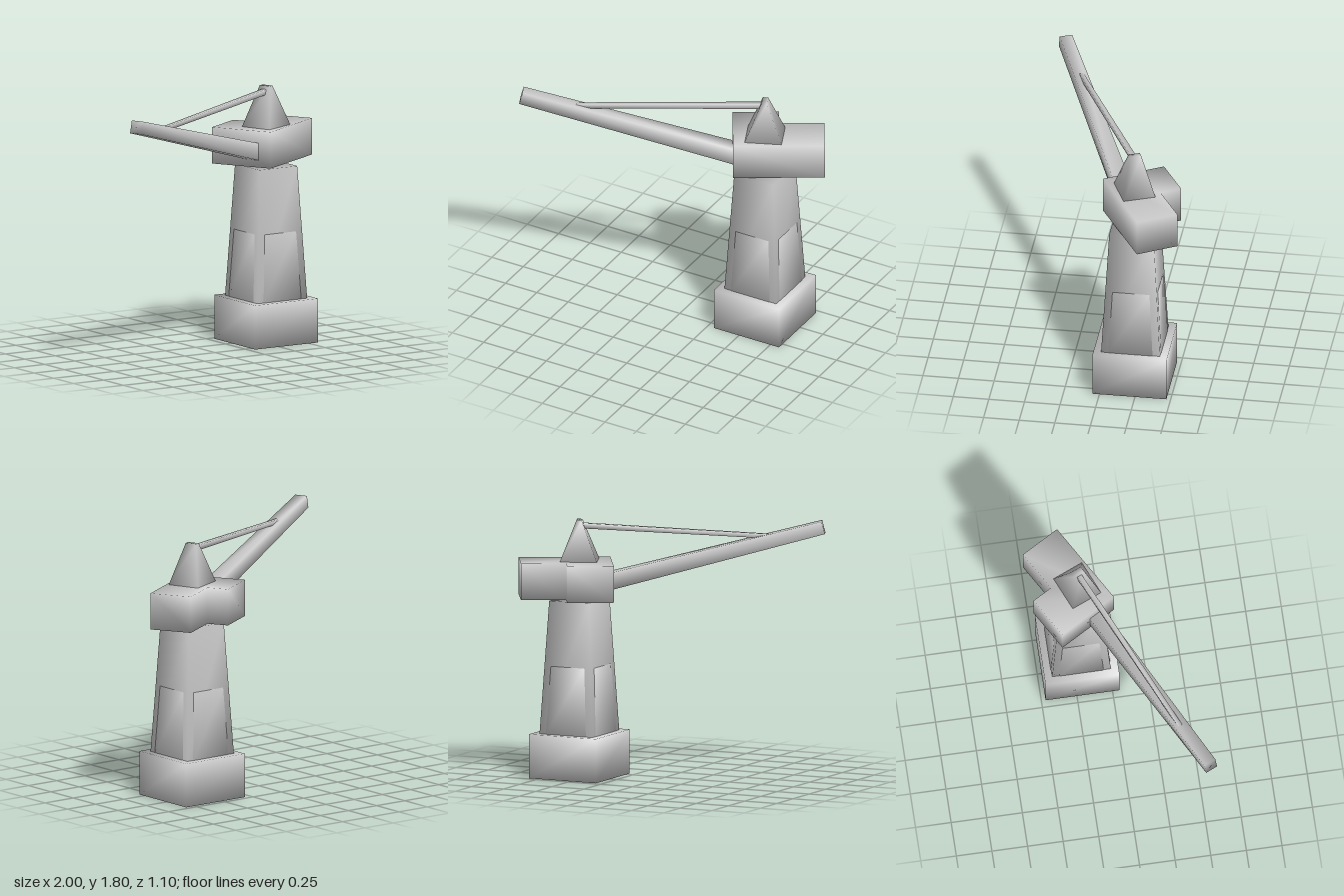
import * as THREE from 'three';
import { mergeVertices } from 'three/addons/utils/BufferGeometryUtils.js';

const material = new THREE.MeshStandardMaterial({ color: 0xcccccc });
const CX = 0.56, CZ = -0.21; // vertical axis of the tower

// Share corners so that shading runs softly across the edges
function soften(geometry) {
  geometry.deleteAttribute('normal');
  geometry.deleteAttribute('uv');
  const merged = mergeVertices(geometry, 1e-4);
  merged.computeVertexNormals();
  return merged;
}

// Box standing on y = 0 whose top may differ in size from its bottom
function frustum(w0, d0, w1, d1, h) {
  const geometry = new THREE.BoxGeometry(1, h, 1).translate(0, h / 2, 0);
  const p = geometry.attributes.position;
  for (let i = 0; i < p.count; i++) {
    const top = p.getY(i) > h / 2;
    p.setX(i, p.getX(i) * (top ? w1 : w0));
    p.setZ(i, p.getZ(i) * (top ? d1 : d0));
  }
  return soften(geometry);
}

function add(group, name, geometry, x, y, z, degrees = 0) {
  const mesh = new THREE.Mesh(geometry, material);
  mesh.name = name;
  mesh.position.set(x, y, z);
  mesh.rotation.y = THREE.MathUtils.degToRad(degrees);
  group.add(mesh);
  return mesh;
}

// Square tapered beam from a to b, kept level across its width
function beam(group, name, a, b, size0, size1) {
  const dir = b.clone().sub(a);
  const length = dir.length();
  dir.normalize();
  const side = new THREE.Vector3().crossVectors(dir, new THREE.Vector3(0, 1, 0)).normalize();
  const third = new THREE.Vector3().crossVectors(side, dir);
  const mesh = add(group, name, frustum(size0, size0, size1, size1, length), a.x, a.y, a.z);
  mesh.quaternion.setFromRotationMatrix(new THREE.Matrix4().makeBasis(side, dir, third));
}

export function createModel() {
  const crane = new THREE.Group();
  crane.name = 'towerCrane';

  // Foundation and tapered tower
  add(crane, 'base', frustum(0.52, 0.52, 0.52, 0.52, 0.31), CX, 0, CZ);
  add(crane, 'tower', frustum(0.412, 0.412, 0.312, 0.312, 0.93), CX, 0.31, CZ);

  // Shallow panels on the lower tower faces, leaving the corners recessed
  for (const turn of [0, 90]) {
    add(crane, 'towerPanels', frustum(0.31, 0.418, 0.26, 0.364, 0.475), CX, 0.31, CZ, turn);
  }

  // Slewing neck
  add(crane, 'neck', frustum(0.14, 0.14, 0.14, 0.14, 0.06), CX, 1.22, CZ);

  // L-shaped machine house, turned on the tower
  const plan = new THREE.Shape([
    [0, 0], [0.638, 0], [0.638, 0.302], [0.324, 0.302], [0.324, 0.455], [0, 0.455],
  ].map(([x, y]) => new THREE.Vector2(x, y)));
  const house = new THREE.ExtrudeGeometry(plan, { depth: 0.257, bevelEnabled: false });
  house.rotateX(-Math.PI / 2);
  add(crane, 'machineHouse', soften(house), 0.441, 1.26, 0.03, 30);

  // Pyramid mast on the roof
  add(crane, 'mast', frustum(0.26, 0.231, 0.037, 0.082, 0.285), CX, 1.515, CZ, 23);

  // Jib and the stay that holds it
  beam(crane, 'jib', new THREE.Vector3(0.41, 1.36, -0.125),
    new THREE.Vector3(-0.98, 1.757, 0.503), 0.118, 0.09);
  beam(crane, 'stay', new THREE.Vector3(0.55, 1.76, -0.205),
    new THREE.Vector3(-0.71, 1.688, 0.375), 0.037, 0.03);

  return crane;
}
